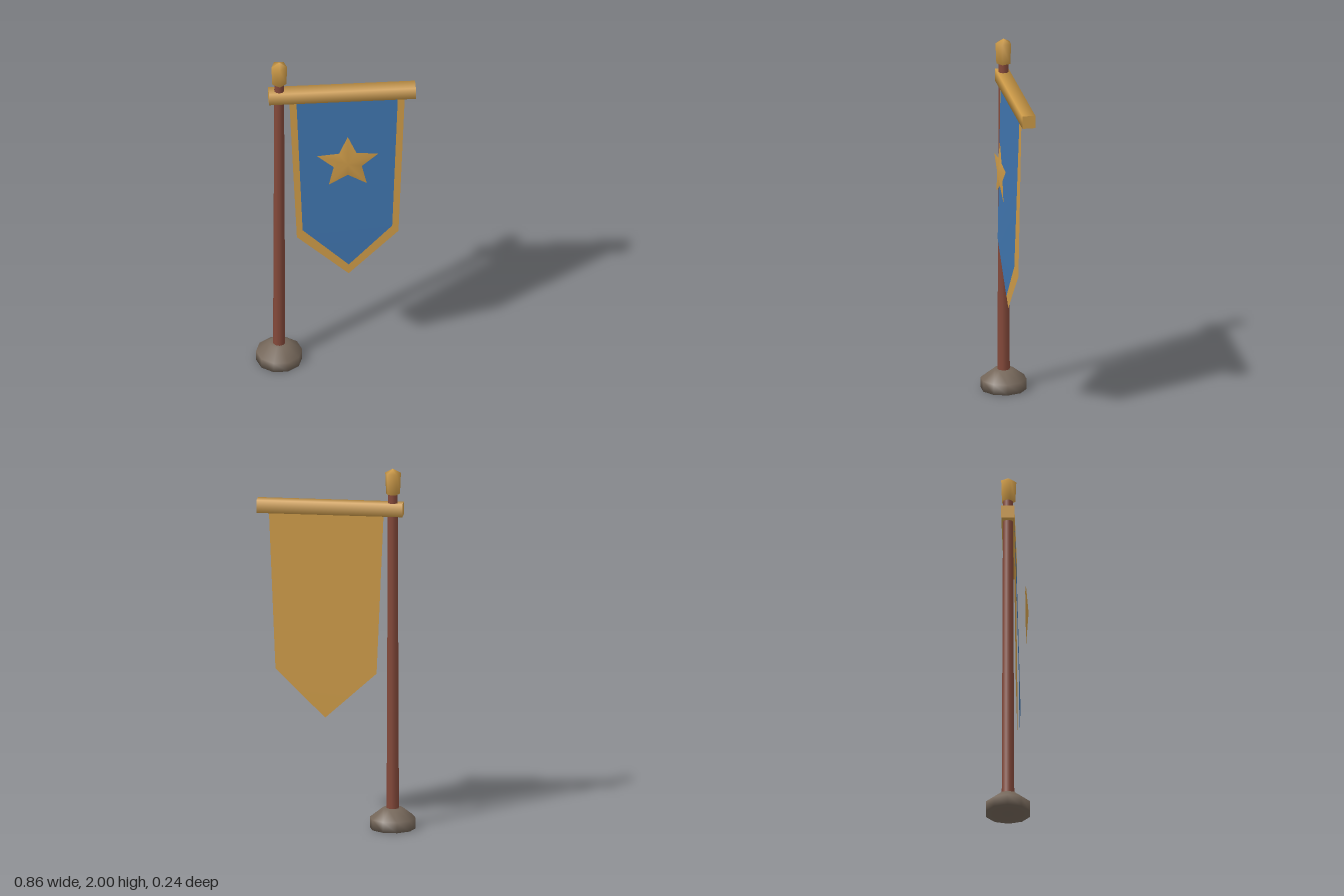
import * as THREE from 'three';

const mat = (name, color, side = THREE.FrontSide) => {
  const m = new THREE.MeshStandardMaterial({ color, side });
  m.name = name;
  return m;
};

// Surface from corner points and triangle indices
function surface(points, index) {
  const g = new THREE.BufferGeometry();
  g.setAttribute('position', new THREE.Float32BufferAttribute(points.flat(), 3));
  g.setIndex(index);
  g.computeVertexNormals();
  return g;
}

// Pointed pennant: top left, low left, tip, low right, top right
const pennant = (points) => surface(points, [0, 1, 4, 1, 3, 4, 1, 2, 3]);

// Five-pointed star raised to a ridge point in the middle
function star(outer, inner, height) {
  const points = [[0, 0, height]];
  const index = [];
  for (let i = 0; i < 10; i++) {
    const a = Math.PI / 2 + (i * Math.PI) / 5;
    const r = i % 2 ? inner : outer;
    points.push([r * Math.cos(a), r * Math.sin(a), 0]);
    index.push(0, i + 1, ((i + 1) % 10) + 1);
  }
  return surface(points, index);
}

export function createModel() {
  const group = new THREE.Group();
  const gold = mat('gold', 0xcc9a48);
  const goldCloth = gold;
  gold.side = THREE.DoubleSide;
  const blue = mat('blue cloth', 0x3f74ad, THREE.DoubleSide);
  const wood = mat('red-brown wood', 0x84493a);
  const stone = mat('grey-brown stone', 0x75675a);
  const poleX = -0.308;

  const add = (name, geometry, material, x = 0, y = 0, z = 0) => {
    const mesh = new THREE.Mesh(geometry, material);
    mesh.name = name;
    mesh.position.set(x, y, z);
    group.add(mesh);
    return mesh;
  };

  // Ten-sided foot with a bevelled top
  const foot = new THREE.LatheGeometry(
    [[0, 0], [0.125, 0], [0.125, 0.058], [0.055, 0.112], [0, 0.112]].map((p) => new THREE.Vector2(...p)), 10);
  add('base', foot, stone, poleX).rotation.y = Math.PI / 10;

  // Tapered pole
  add('pole', new THREE.CylinderGeometry(0.027, 0.034, 1.78, 10), wood, poleX, 0.98);

  // Five-sided finial with a low point
  const finial = new THREE.LatheGeometry(
    [[0, 0], [0.04, 0], [0.045, 0.115], [0, 0.14]].map((p) => new THREE.Vector2(...p)), 5);
  add('finial', finial, gold, poleX, 1.86);

  // Square crossbar
  const bar = new THREE.CylinderGeometry(0.05, 0.05, 0.795, 4);
  bar.rotateY(Math.PI / 4).rotateZ(Math.PI / 2);
  add('crossbar', bar, gold, 0.0325, 1.775);

  // Gold backing cloth and blue field
  add('bannerBorder', pennant([
    [-0.255, 1.75, 0.03], [-0.215, 0.845, 0.04], [0.065, 0.59, 0.045],
    [0.335, 0.858, 0.04], [0.37, 1.75, 0.03]]), goldCloth);
  add('bannerField', pennant([
    [-0.217, 1.75, 0.034], [-0.185, 0.902, 0.056], [0.065, 0.657, 0.055],
    [0.3, 0.907, 0.056], [0.332, 1.75, 0.034]]), blue);

  // Star emblem floating in front of the cloth
  add('starEmblem', star(0.175, 0.08, 0.015), gold, 0.057, 1.368, 0.089);

  return group;
}
